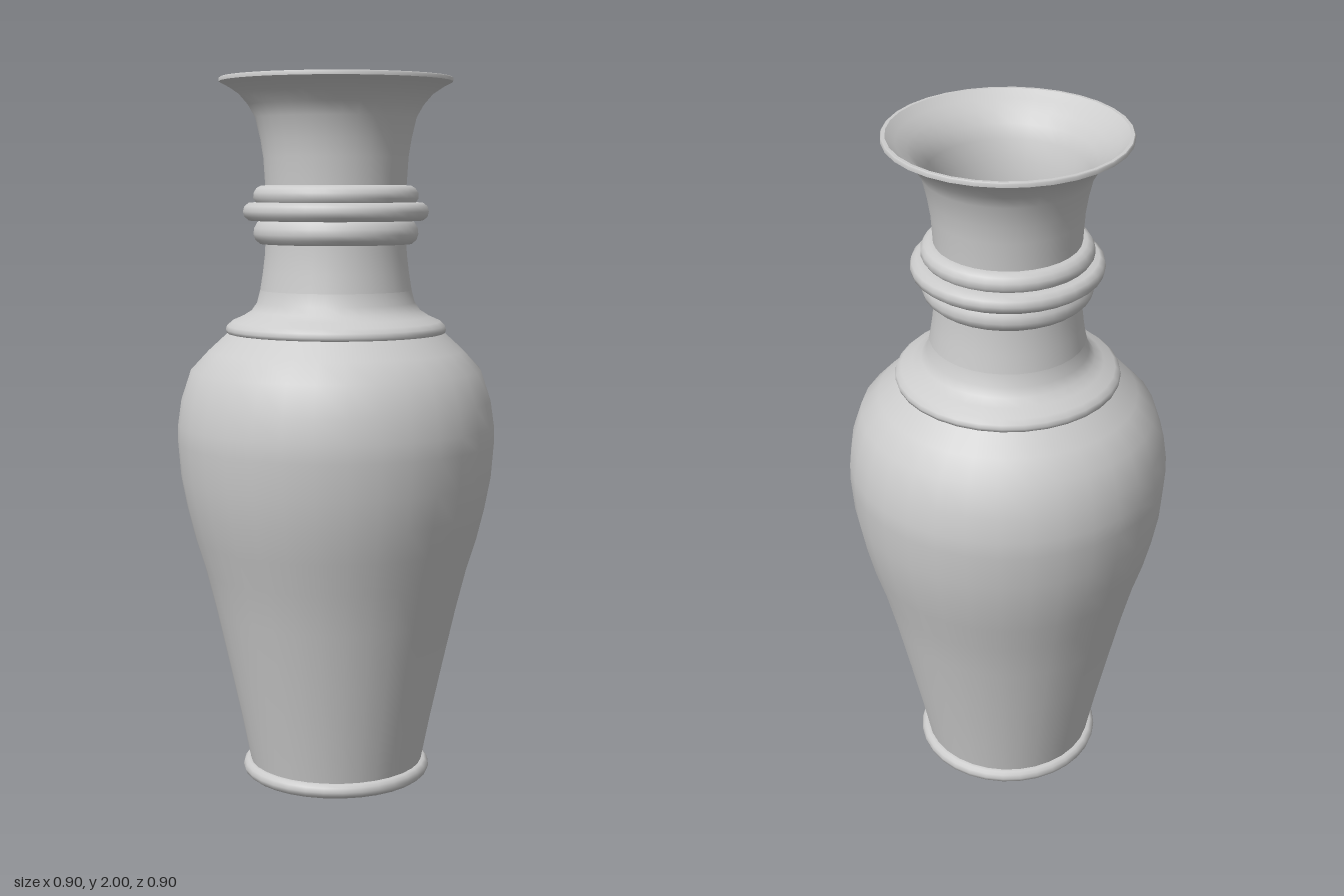
import * as THREE from 'three';

const SEGMENTS = 32;
const WALL = 0.012;

// Outer profiles as [radius, height], bottom to top
const FOOT = [[0.235, 0], [0.258, 0], [0.268, 0.008], [0.272, 0.02], [0.268, 0.032], [0.26, 0.039], [0.25, 0.04]];
const BODY = [[0.25, 0.04], [0.276, 0.17], [0.311, 0.33], [0.347, 0.49], [0.377, 0.61], [0.405, 0.7],
  [0.427, 0.79], [0.444, 0.88], [0.452, 0.98], [0.451, 1.03], [0.441, 1.1], [0.413, 1.185], [0.362, 1.24], [0.305, 1.292]];
const SHOULDER = [[0.3, 1.288], [0.31, 1.29], [0.313, 1.299], [0.31, 1.31], [0.297, 1.322], [0.265, 1.336],
  [0.24, 1.352], [0.224, 1.375], [0.215, 1.41]];
const NECK = [[0.215, 1.41], [0.207, 1.46], [0.201, 1.51], [0.199, 1.55]];
const LOWER_BEAD = [[0.198, 1.54], [0.215, 1.54], [0.228, 1.552], [0.233, 1.567], [0.231, 1.584], [0.222, 1.6], [0.215, 1.606]];
const MAIN_BEAD = [[0.215, 1.604], [0.245, 1.605], [0.258, 1.615], [0.262, 1.63], [0.258, 1.645], [0.245, 1.655], [0.215, 1.656]];
const UPPER_BEAD = [[0.225, 1.655], [0.233, 1.667], [0.232, 1.682], [0.224, 1.695], [0.212, 1.702], [0.198, 1.703]];
const MOUTH = [[0.199, 1.7], [0.204, 1.78], [0.212, 1.83], [0.226, 1.89], [0.246, 1.925], [0.272, 1.955], [0.302, 1.975], [0.327, 1.988]];

export function createModel() {
  const vase = new THREE.Group();
  vase.name = 'vase';
  const material = new THREE.MeshStandardMaterial({ color: 0xcccccc });

  // Turns a profile around the y axis; an upward profile faces outwards
  const turn = (name, profile) => {
    const points = profile.map(([r, y]) => new THREE.Vector2(r, y));
    const mesh = new THREE.Mesh(new THREE.LatheGeometry(points, SEGMENTS), material);
    mesh.name = name;
    vase.add(mesh);
  };

  turn('foot', FOOT);
  turn('body', BODY);
  turn('shoulder', SHOULDER);
  turn('neck', NECK);
  turn('lowerBead', LOWER_BEAD);
  turn('mainBead', MAIN_BEAD);
  turn('upperBead', UPPER_BEAD);
  turn('mouth', MOUTH);

  // Thin lip closing the wall at the top
  turn('lipEdge', [[0.327, 1.988], [0.327, 1.997], [0.324, 2]]);
  turn('lipTop', [[0.324, 2], [0.315, 2]]);

  // Inner wall follows the outside, running downwards so it faces the axis
  const inner = [...BODY, ...SHOULDER.slice(5), ...NECK.slice(1), ...MOUTH.slice(0, -1)]
    .map(([r, y]) => [r - WALL, y + 0.005]);
  turn('innerWall', [...inner, [0.315, 2]].reverse());

  // Floor inside and recessed base underneath
  turn('floor', [[0.24, 0.045], [0, 0.045]]);
  turn('footInside', [[0.235, 0.035], [0.235, 0]]);
  turn('base', [[0, 0.035], [0.235, 0.035]]);

  return vase;
}
